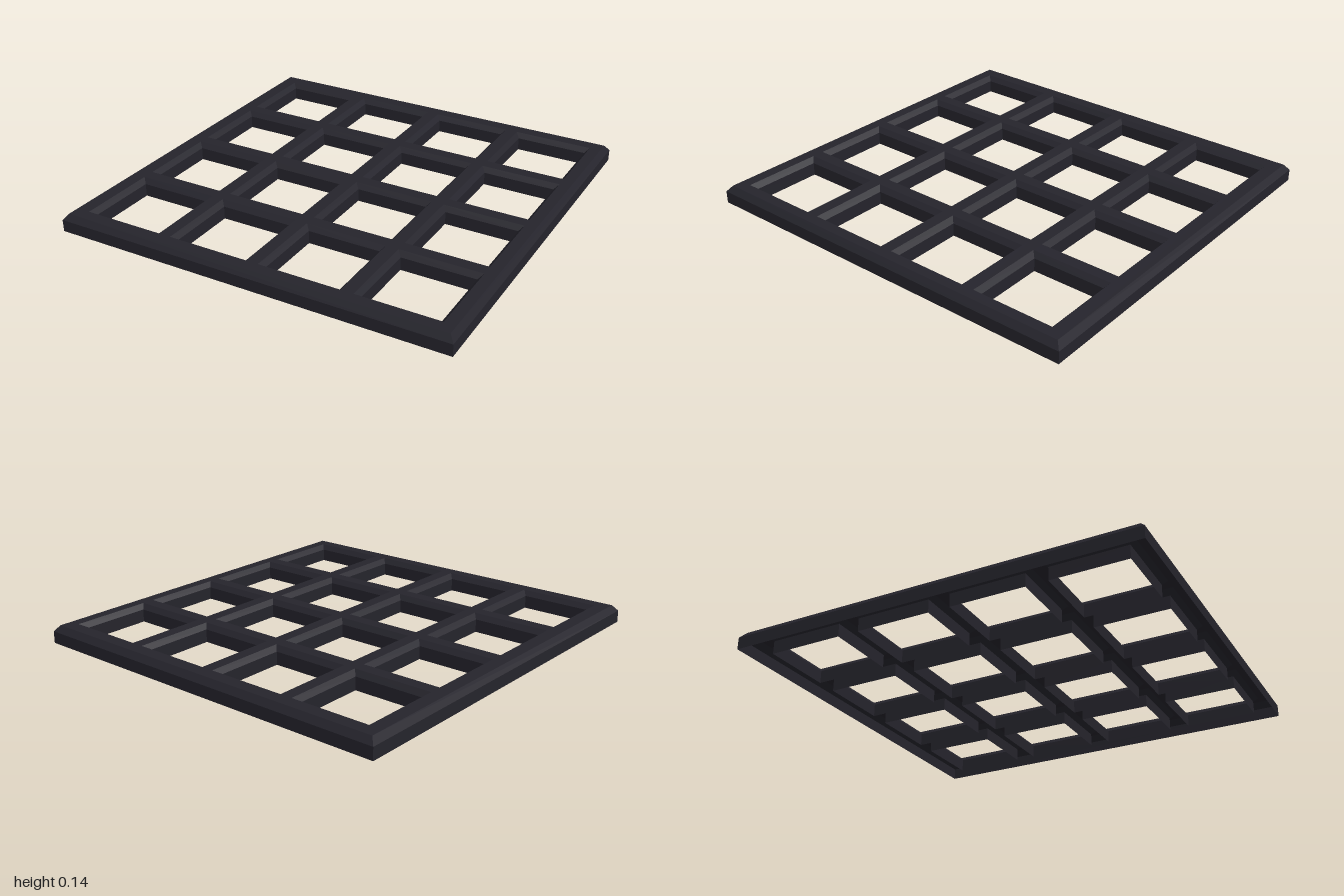
import * as THREE from 'three';

export function createModel() {
  const model = new THREE.Group();
  model.name = 'grille';
  // Thin shell, open underneath
  const material = new THREE.MeshStandardMaterial({
    color: 0x25242c, flatShading: true, side: THREE.DoubleSide
  });

  const height = 0.09;
  const topHalf = 0.975;               // half width of the flat top
  const holeHalf = 0.183;              // half width of an opening
  const chamfer = 0.022;
  const pitch = 0.472;
  const centreX = 0.006, centreZ = 0.004;

  // The whole panel leans slightly: it rises towards the front and its left.
  const slopeX = 0.0055, slopeZ = 0.0195;
  const lean = new THREE.Matrix4().set(
    1, 0, 0, 0,
    slopeX, 1, slopeZ, slopeX + slopeZ,
    0, 0, 1, 0,
    0, 0, 0, 1
  );

  function addPart(name, geometry) {
    const flat = geometry.toNonIndexed().applyMatrix4(lean);
    flat.computeVertexNormals();
    const mesh = new THREE.Mesh(flat, material);
    mesh.name = name;
    model.add(mesh);
  }

  // Four mitred walls following a section of [half width, y] points
  function squareWalls(section) {
    const points = section.map(([r, y]) => new THREE.Vector2(r * Math.SQRT2, y));
    return new THREE.LatheGeometry(points, 4, Math.PI / 4);
  }

  function squareCorners(x, y, half) {
    return [[-1, -1], [1, -1], [1, 1], [-1, 1]]
      .map(([i, j]) => new THREE.Vector2(x + i * half, y + j * half));
  }

  // Outer skirt with bevelled top edge
  addPart('skirt', squareWalls([[1, 0], [1, height - 0.03], [topHalf, height]]));

  // Flat top with sixteen openings, each lined by a chamfered wall
  const top = new THREE.Shape(squareCorners(0, 0, topHalf));
  for (let row = 0; row < 4; row++) {
    for (let column = 0; column < 4; column++) {
      const x = centreX + (column - 1.5) * pitch;
      const z = centreZ + (row - 1.5) * pitch;
      top.holes.push(new THREE.Path(squareCorners(x, -z, holeHalf + chamfer).reverse()));
      addPart('openingWall', squareWalls([
        [holeHalf + chamfer, height], [holeHalf, height - 0.025], [holeHalf, 0]
      ]).translate(x, 0, z));
    }
  }
  addPart('topPlate', new THREE.ShapeGeometry(top)
    .rotateX(-Math.PI / 2).translate(0, height, 0));

  return model;
}
